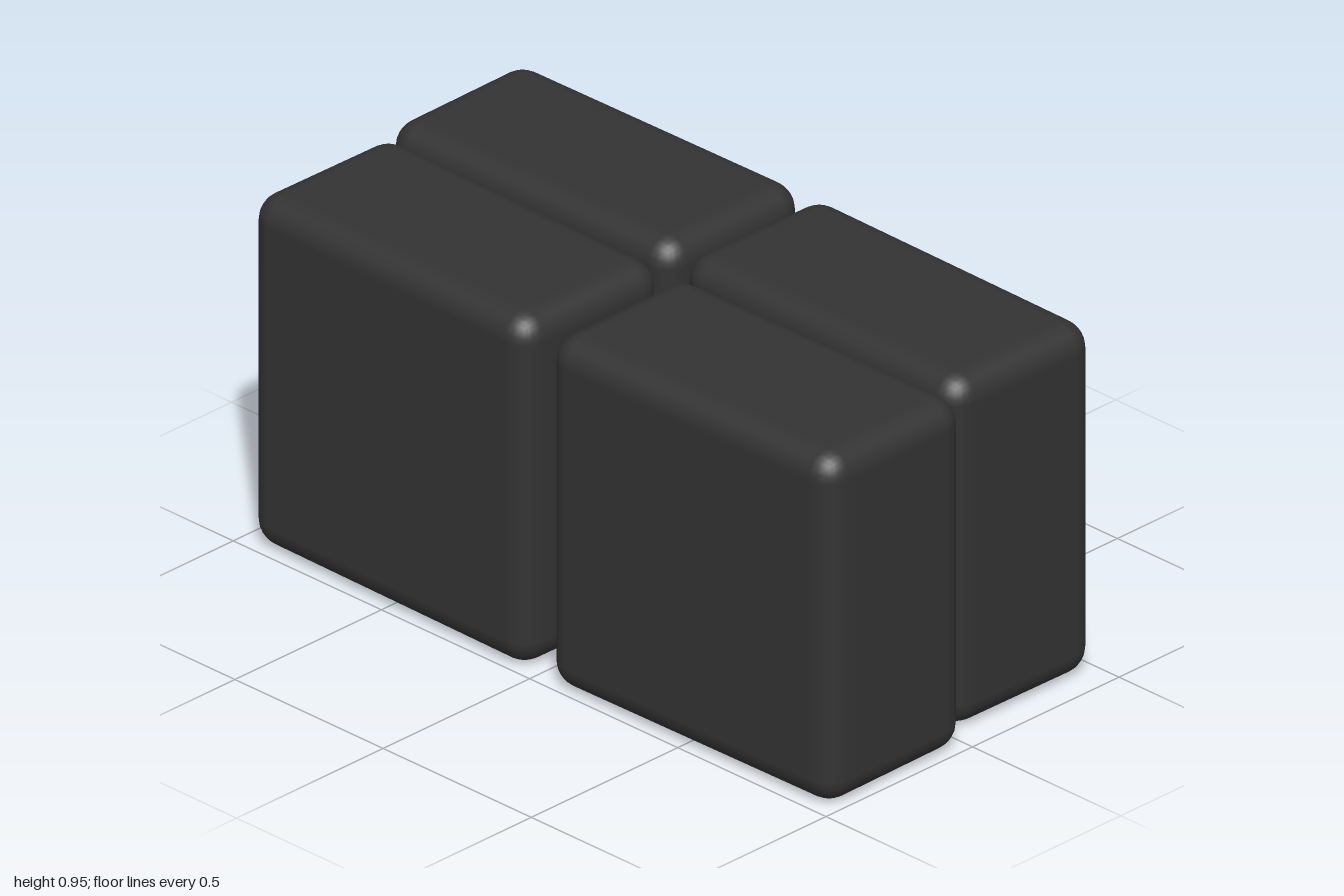
import * as THREE from 'three';
import { RoundedBoxGeometry } from 'three/addons/geometries/RoundedBoxGeometry.js';

export function createModel() {
  const model = new THREE.Group();
  const material = new THREE.MeshStandardMaterial({ color: 0x333333 });
  const width = 0.95, height = 0.952, depth = 0.478;
  const geometry = new RoundedBoxGeometry(width, height, depth, 3, 0.07);

  // Four soft-edged blocks in two rows, each turned very slightly
  const blocks = [
    ['frontRightBlock', -0.49, 0.254, -0.014],
    ['frontLeftBlock', 0.521, 0.254, 0.014],
    ['backRightBlock', -0.522, -0.252, 0.013],
    ['backLeftBlock', 0.464, -0.252, -0.013],
  ];
  for (const [name, x, z, turn] of blocks) {
    const block = new THREE.Mesh(geometry, material);
    block.name = name;
    block.position.set(x, height / 2 + 0.002, z);
    block.rotation.y = turn;
    model.add(block);
  }
  return model;
}
